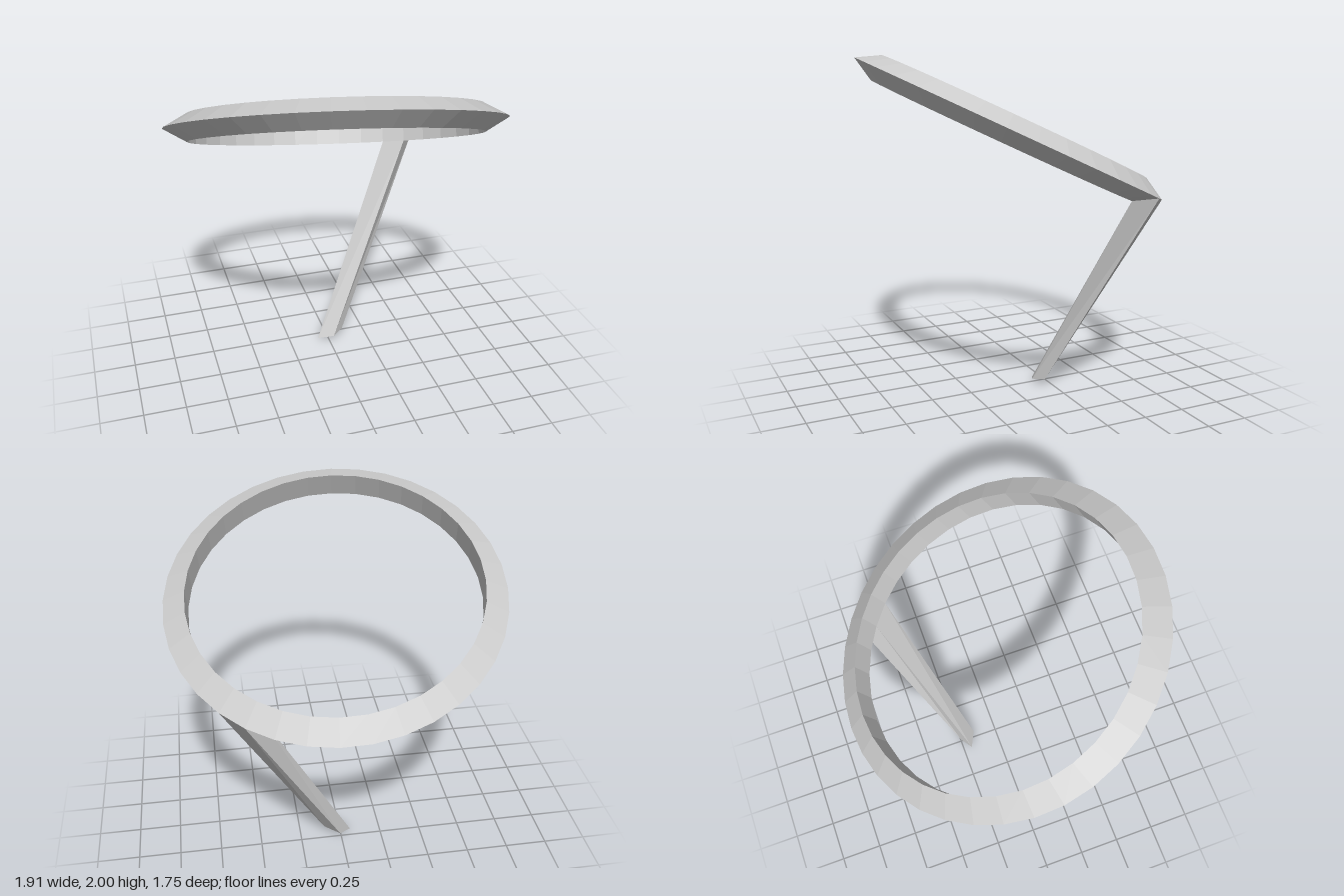
import * as THREE from 'three';

const RADIUS = 0.875, TUBE = 0.0875, SEGMENTS = 36;

export function createModel() {
  const model = new THREE.Group();
  const material = new THREE.MeshStandardMaterial({ color: 0xcccccc, flatShading: true });

  // placement shared by the ring and the top of the post
  const turn = THREE.MathUtils.degToRad(2.3);
  const tilt = new THREE.Quaternion().setFromUnitVectors(
    new THREE.Vector3(0, 1, 0), new THREE.Vector3(0.09, 0.903, -0.42).normalize());
  const centre = new THREE.Vector3(0, 1.58, -0.005);

  // tilted ring with a triangular section, sharp edge outwards
  const ringGeometry = new THREE.TorusGeometry(RADIUS, TUBE, 3, SEGMENTS);
  ringGeometry.rotateX(-Math.PI / 2).rotateY(turn);
  const ring = new THREE.Mesh(ringGeometry, material);
  ring.name = 'ring';
  ring.quaternion.copy(tilt);
  ring.position.copy(centre);
  model.add(ring);

  // a corner of the ring's underside: edge index around, angle around the section
  const ringCorner = (edge, v) => {
    const a = turn + edge * 2 * Math.PI / SEGMENTS;
    const rho = RADIUS + TUBE * Math.cos(v);
    return new THREE.Vector3(rho * Math.cos(a), TUBE * Math.sin(v), -rho * Math.sin(a))
      .applyQuaternion(tilt).add(centre);
  };

  // slanted four-sided post, widening up to one underside facet of the ring
  const inner = 4 * Math.PI / 3;
  const foot = [[-0.065, 0, -0.195], [0.03, 0.03, -0.148], [0.1, 0.045, -0.2], [0.005, 0.015, -0.247]]
    .map(p => new THREE.Vector3(...p));
  const head = [ringCorner(5, inner), ringCorner(4, inner), ringCorner(4, 0), ringCorner(5, 0)];
  const corners = [...foot, ...head];
  const index = [0, 3, 2, 0, 2, 1];
  for (let i = 0; i < 4; i++) {
    const j = (i + 1) % 4;
    index.push(i, j, j + 4, i, j + 4, i + 4);
  }
  const postGeometry = new THREE.BufferGeometry().setFromPoints(index.map(i => corners[i]));
  postGeometry.computeVertexNormals();
  const post = new THREE.Mesh(postGeometry, material);
  post.name = 'post';
  model.add(post);

  return model;
}
